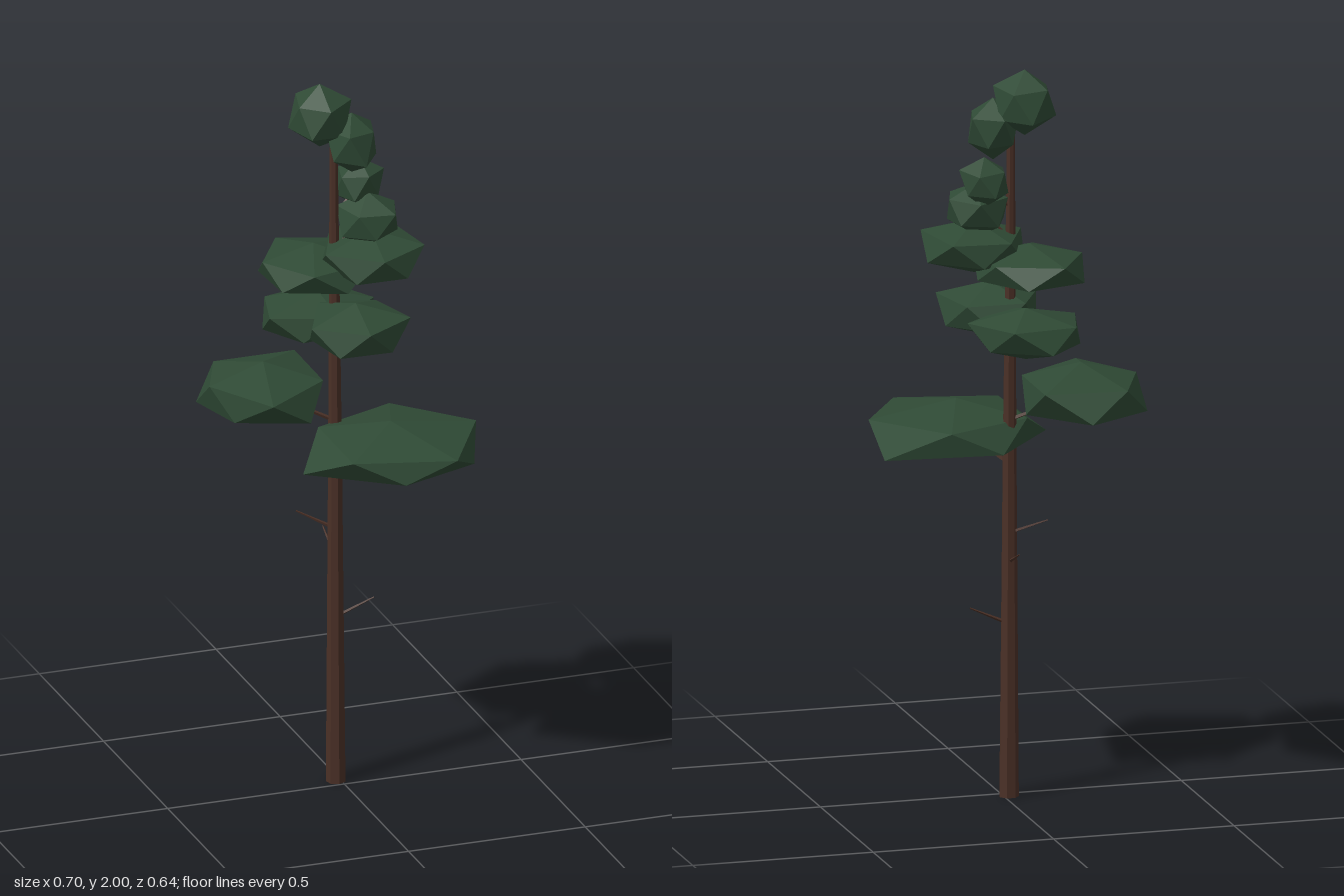
import * as THREE from 'three';

const bark = new THREE.MeshStandardMaterial({ color: 0x4a3026, flatShading: true });
const leaf = new THREE.MeshStandardMaterial({ color: 0x2f4a35, flatShading: true });

let seed = 7;
const random = () => (seed = (seed * 16807) % 2147483647) / 2147483647;

// Foliage clump: squashed twenty-sided form with poles up and down, uneven ring
// radii, fitted to the box [x0, x1, y0, y1, z0, z1]. phase = angle of first upper corner.
function clumpGeometry([x0, x1, y0, y1, z0, z1], phase, radii) {
  const ring = [];
  for (let i = 0; i < 10; i++) {
    const a = THREE.MathUtils.degToRad(phase + 36 * i);
    const r = radii ? radii[i] : 0.88 + 0.24 * random();
    const h = (i % 2 ? -0.45 : 0.45) + (random() - 0.5) * 0.12;
    ring.push(new THREE.Vector3(r * Math.cos(a), h, r * Math.sin(a)));
  }
  const box = new THREE.Box3().setFromPoints(ring);
  const fit = (v, a, b, lo, hi) => lo + ((v - a) / (b - a)) * (hi - lo);
  for (const p of ring) {
    p.x = fit(p.x, box.min.x, box.max.x, x0, x1);
    p.z = fit(p.z, box.min.z, box.max.z, z0, z1);
    p.y = fit(p.y, -1, 1, y0, y1);
  }
  const cx = (x0 + x1) / 2, cz = (z0 + z1) / 2;
  const top = new THREE.Vector3(cx, y1, cz), bottom = new THREE.Vector3(cx, y0, cz);
  const points = [];
  for (let i = 0; i < 10; i += 2) {
    const up = ring[i], low = ring[i + 1];
    const nextUp = ring[(i + 2) % 10], nextLow = ring[(i + 3) % 10];
    points.push(top, nextUp, up, up, nextUp, low, low, nextUp, nextLow, bottom, low, nextLow);
  }
  const geometry = new THREE.BufferGeometry().setFromPoints(points);
  geometry.computeVertexNormals();
  return geometry;
}

// Tapered round bar between two points
function bar(name, from, to, r0, r1, sides) {
  const a = new THREE.Vector3(...from), b = new THREE.Vector3(...to);
  const dir = b.clone().sub(a);
  const mesh = new THREE.Mesh(new THREE.CylinderGeometry(r1, r0, dir.length(), sides), bark);
  mesh.position.copy(a).add(b).multiplyScalar(0.5);
  mesh.quaternion.setFromUnitVectors(new THREE.Vector3(0, 1, 0), dir.normalize());
  mesh.name = name;
  return mesh;
}

export function createModel() {
  seed = 7;
  const tree = new THREE.Group();
  tree.name = 'tallPine';

  // Trunk in two tapers
  tree.add(bar('lowerTrunk', [-0.013, 0, -0.03], [-0.014, 0.95, -0.033], 0.027, 0.019, 7));
  tree.add(bar('upperTrunk', [-0.014, 0.95, -0.033], [-0.017, 1.82, -0.036], 0.019, 0.011, 7));

  // Bare twigs on the lower trunk
  const twigs = [
    [[0, 0.48, -0.025], [0.09, 0.52, -0.015]],
    [[-0.014, 0.65, -0.045], [-0.01, 0.69, -0.14]],
    [[-0.025, 0.73, -0.04], [-0.105, 0.767, -0.088]],
  ];
  for (const [from, to] of twigs) tree.add(bar('twig', from, to, 0.005, 0.002, 4));

  // Foliage from the bottom up, each clump held by a short branch
  const clumps = [
    { box: [-0.16, 0.35, 0.92, 1.07, -0.12, 0.32], phase: 68,
      radii: [0.24, 0.21, 0.24, 0.28, 0.22, 0.24, 0.225, 0.31, 0.23, 0.21] },
    { box: [-0.35, -0.03, 1.03, 1.2, -0.32, 0.1], phase: 100,
      radii: [0.215, 0.15, 0.15, 0.17, 0.17, 0.21, 0.21, 0.17, 0.17, 0.19] },
    { box: [-0.18, 0.13, 1.23, 1.37, -0.29, -0.01], phase: 297 },
    { box: [-0.12, 0.15, 1.25, 1.4, -0.09, 0.185], phase: 24 },
    { box: [-0.2, 0.09, 1.4, 1.53, -0.24, 0.06], phase: 180 },
    { box: [-0.065, 0.215, 1.44, 1.585, -0.15, 0.14], phase: 24 },
    { box: [-0.01, 0.15, 1.54, 1.69, -0.1, 0.07], phase: 60 },
    { box: [0, 0.13, 1.63, 1.77, -0.13, 0], phase: 10 },
    { box: [-0.04, 0.095, 1.75, 1.92, -0.1, 0.06], phase: 45 },
    { box: [-0.13, 0.03, 1.82, 2, -0.14, 0.03], phase: 90 },
  ];
  for (const { box, phase, radii } of clumps) {
    const clump = new THREE.Mesh(clumpGeometry(box, phase, radii), leaf);
    clump.name = 'foliageClump';
    tree.add(clump);
    const [x0, x1, y0, y1, z0, z1] = box;
    if (y1 < 1.8) {
      const y = (y0 + y1) / 2;
      tree.add(bar('branch', [-0.014, y - 0.08, -0.033],
        [(x0 + x1) / 2, y, (z0 + z1) / 2], 0.006, 0.003, 4));
    }
  }
  return tree;
}
